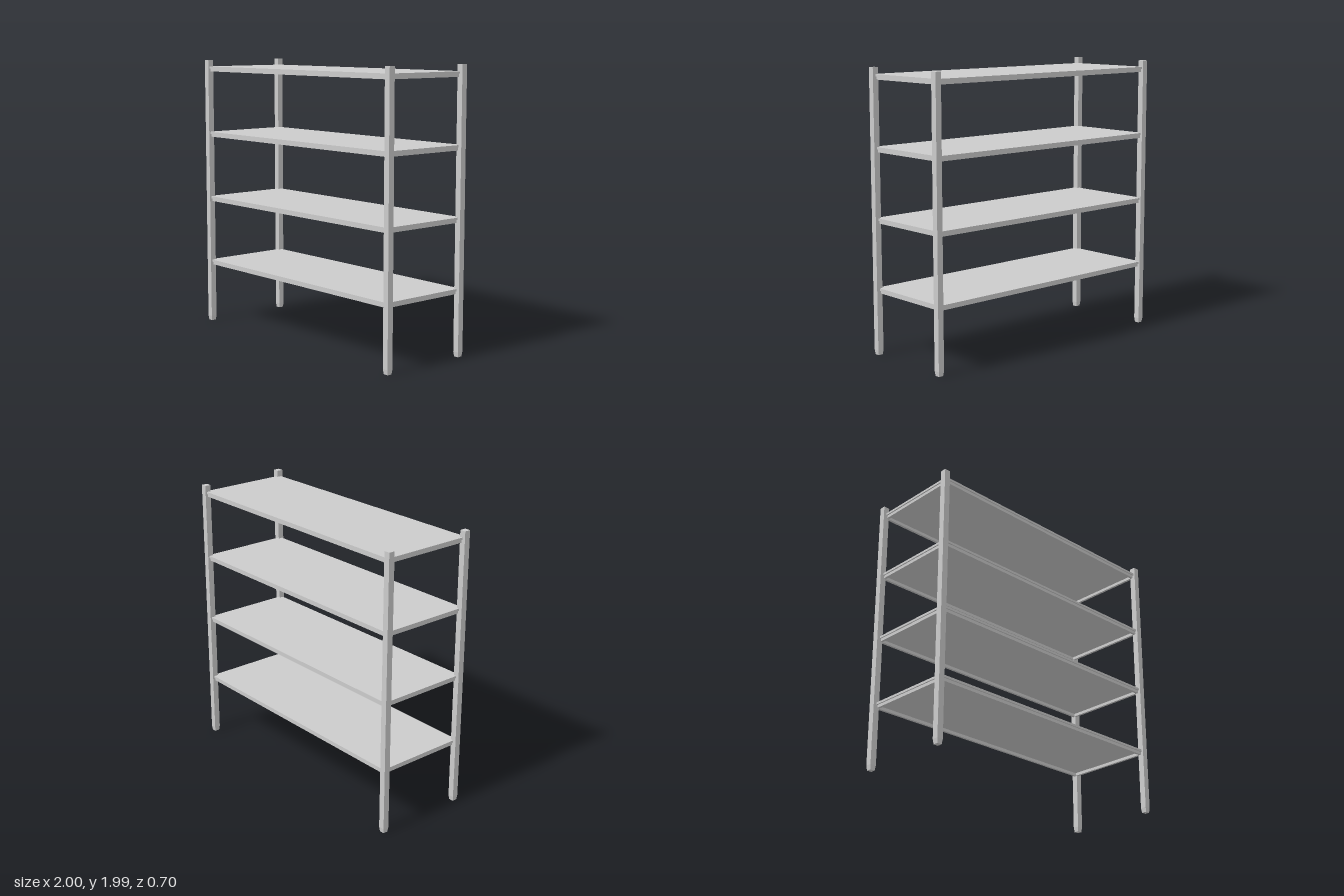
import * as THREE from 'three';

const material = new THREE.MeshStandardMaterial({ color: 0xcccccc, flatShading: true });

function box(name, w, h, d, x, y, z) {
  const mesh = new THREE.Mesh(new THREE.BoxGeometry(w, h, d), material);
  mesh.name = name;
  mesh.position.set(x, y, z);
  return mesh;
}

// Square post with a small tapered foot
function makePost(name, x, z) {
  const post = new THREE.Group();
  post.name = name;
  const size = 0.044, height = 1.985, footHeight = 0.035;
  post.add(box('postShaft', size, height - footHeight, size, 0, (height + footHeight) / 2, 0));

  const taper = new THREE.CylinderGeometry(size / Math.SQRT2, 0.035 / Math.SQRT2, footHeight, 4);
  taper.rotateY(Math.PI / 4);
  const foot = new THREE.Mesh(taper, material);
  foot.name = 'foot';
  foot.position.y = footHeight / 2;
  post.add(foot);

  post.position.set(x, 0, z);
  return post;
}

// Thin shelf board carried by a slightly inset rim of rails
function makeShelf(name, top) {
  const shelf = new THREE.Group();
  shelf.name = name;
  const halfX = 0.977, halfZ = 0.34, board = 0.016;
  const railHeight = 0.021, railWidth = 0.018, inset = 0.008;
  shelf.add(box('board', halfX * 2, board, halfZ * 2, 0, -board / 2, 0));

  const railY = -board - railHeight / 2;
  const railX = halfX - inset - railWidth / 2;
  const railZ = halfZ - inset - railWidth / 2;
  for (const s of [-1, 1]) {
    shelf.add(box(s > 0 ? 'frontRail' : 'backRail',
      2 * railX + railWidth, railHeight, railWidth, 0, railY, s * railZ));
    shelf.add(box(s > 0 ? 'leftRail' : 'rightRail',
      railWidth, railHeight, 2 * railZ - railWidth, s * railX, railY, 0));
  }
  shelf.position.y = top;
  return shelf;
}

export function createModel() {
  const model = new THREE.Group();
  model.name = 'shelvingUnit';

  // Four corner posts
  for (const sx of [-1, 1]) {
    for (const sz of [-1, 1]) {
      const name = (sz > 0 ? 'front' : 'back') + (sx > 0 ? 'Left' : 'Right') + 'Post';
      model.add(makePost(name, sx * 0.978, sz * 0.33));
    }
  }

  // Four evenly spaced shelves
  for (let i = 0; i < 4; i++) model.add(makeShelf('shelf' + (i + 1), 0.473 + i * 0.4885));

  return model;
}
